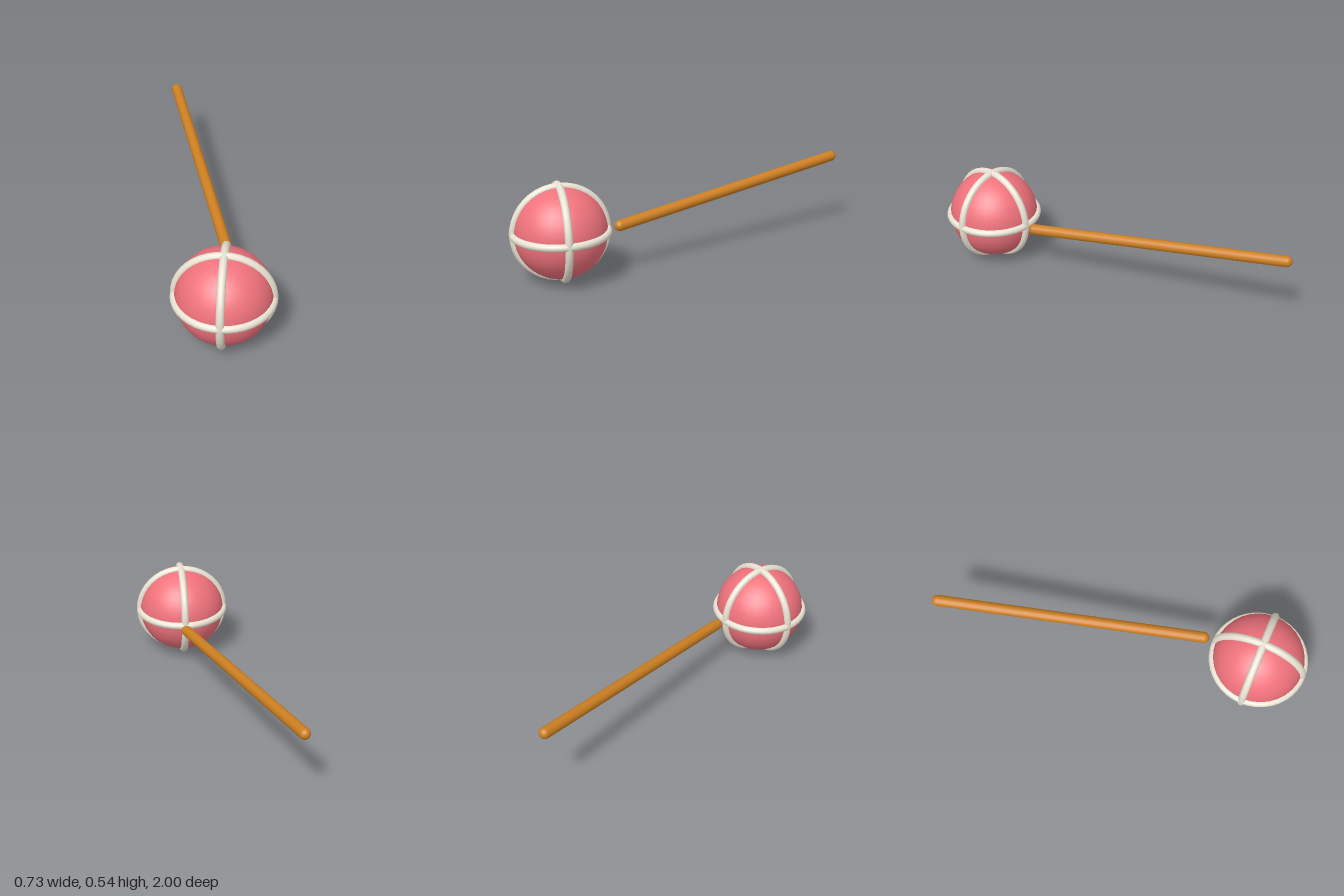
import * as THREE from 'three';

export function createModel() {
  const group = new THREE.Group();
  const pink = new THREE.MeshStandardMaterial({ color: 0xf0727c });
  const cream = new THREE.MeshStandardMaterial({ color: 0xe8e2d2 });
  const wood = new THREE.MeshStandardMaterial({ color: 0xcd7f20 });

  const add = (parent, name, geometry, material) => {
    const mesh = new THREE.Mesh(geometry, material);
    mesh.name = name;
    parent.add(mesh);
    return mesh;
  };

  // Ball wrapped by three perpendicular hoops
  const ball = new THREE.Group();
  ball.name = 'ball';
  ball.position.set(0.093, 0.271, 0.73);
  group.add(ball);
  add(ball, 'ballCore', new THREE.SphereGeometry(0.249, 32, 20), pink);

  const hoop = new THREE.TorusGeometry(0.249, 0.021, 12, 40);
  add(ball, 'frontHoop', hoop, cream);
  add(ball, 'sideHoop', hoop, cream).rotation.y = Math.PI / 2;
  add(ball, 'equatorHoop', hoop, cream).rotation.x = Math.PI / 2;

  // Round-ended stick, slanting up and away behind the ball
  const near = new THREE.Vector3(0.092, 0.274, 0.412);
  const far = new THREE.Vector3(-0.334, 0.432, -0.97);
  const axis = far.clone().sub(near);
  const stick = add(group, 'stick', new THREE.CapsuleGeometry(0.03, axis.length(), 6, 16), wood);
  stick.position.copy(near).lerp(far, 0.5);
  stick.quaternion.setFromUnitVectors(new THREE.Vector3(0, 1, 0), axis.normalize());

  return group;
}
